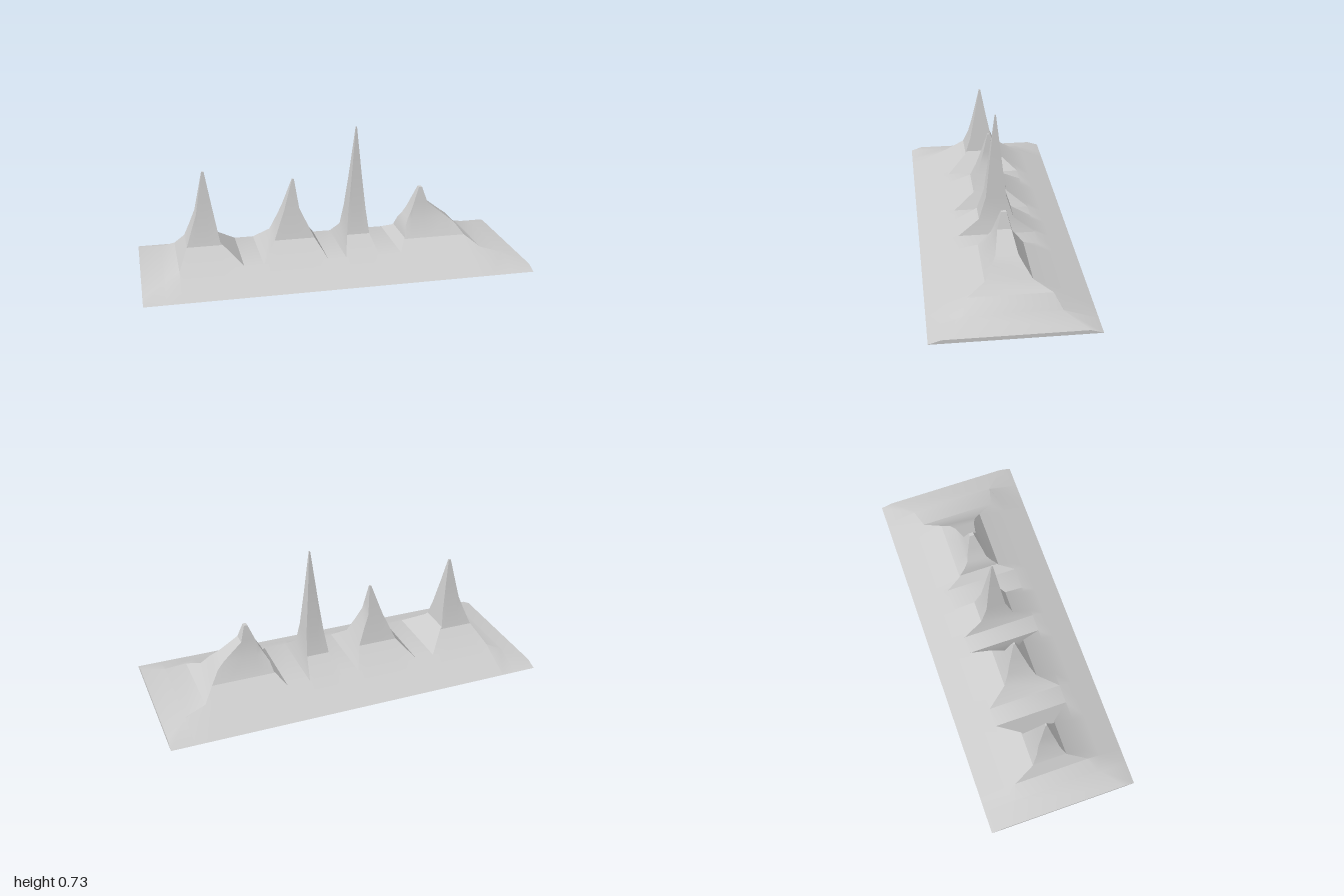
import * as THREE from 'three';
import { mergeVertices, toCreasedNormals } from 'three/addons/utils/BufferGeometryUtils.js';

// Ridge line seen from the front: [x, height]
const ridge = [
  [-1, 0.02], [-0.89, 0.052], [-0.81, 0.083],
  [-0.76, 0.17], [-0.705, 0.32], [-0.665, 0.535], [-0.653, 0.535], [-0.63, 0.4], [-0.59, 0.175], [-0.485, 0.085],
  [-0.385, 0.085], [-0.31, 0.165], [-0.25, 0.31], [-0.2, 0.465], [-0.19, 0.465], [-0.17, 0.315], [-0.1, 0.165], [-0.05, 0.085],
  [0.045, 0.085], [0.075, 0.165], [0.11, 0.45], [0.139, 0.725], [0.145, 0.725], [0.165, 0.48], [0.195, 0.165], [0.22, 0.085],
  [0.34, 0.085], [0.385, 0.13], [0.397, 0.18], [0.44, 0.26], [0.487, 0.375], [0.505, 0.375], [0.53, 0.295],
  [0.67, 0.185], [0.715, 0.125], [0.775, 0.083], [0.88, 0.057], [1, 0.02],
];

// Side outlines: [height, half depth], one per stretch of the ridge
const foot = [[0, 0.4], [0.055, 0.27], [0.085, 0.2]];
const endProfile = [[0, 0.4], [0.055, 0.235], [0.085, 0.2], [0.1, 0.19], [0.2, 0.09], [0.3, 0.05], [0.8, 0.004]];
const profiles = [
  { until: -0.82, rows: endProfile },
  { until: -0.43, rows: [...foot, [0.165, 0.092], [0.25, 0.062], [0.4, 0.03], [0.535, 0.004]] },
  { until: 0, rows: [...foot, [0.165, 0.09], [0.25, 0.06], [0.37, 0.028], [0.465, 0.005]] },
  { until: 0.28, rows: [...foot, [0.165, 0.09], [0.285, 0.053], [0.55, 0.023], [0.725, 0.003]] },
  { until: 0.8, rows: [...foot, [0.125, 0.115], [0.215, 0.055], [0.3, 0.033], [0.375, 0.013]] },
  { until: 2, rows: endProfile },
];
const rowsAt = (x) => profiles.find((p) => x <= p.until).rows;

function halfDepth(rows, y) {
  for (let i = 1; i < rows.length; i++) {
    const [y0, w0] = rows[i - 1], [y1, w1] = rows[i];
    if (y <= y1) return w0 + (w1 - w0) * (y - y0) / (y1 - y0);
  }
  return rows[rows.length - 1][1];
}

// Add a station wherever the ridge crosses a bend of the side outline
function makeStations() {
  const out = [ridge[0]];
  for (let i = 1; i < ridge.length; i++) {
    const [x0, h0] = ridge[i - 1], [x1, h1] = ridge[i];
    rowsAt((x0 + x1) / 2)
      .map(([y]) => (y - h0) / (h1 - h0))
      .filter((t) => t > 0.001 && t < 0.999)
      .sort((a, b) => a - b)
      .forEach((t) => out.push([x0 + (x1 - x0) * t, h0 + (h1 - h0) * t]));
    out.push(ridge[i]);
  }
  return out;
}

// Closed cross-section: front foot, up to the ridge, down to the back foot
function section([x, h]) {
  const rows = rowsAt(x);
  const front = rows.map(([level]) => {
    const y = Math.min(level, h);
    return new THREE.Vector3(x, y, halfDepth(rows, y));
  });
  const back = front.map((p) => new THREE.Vector3(p.x, p.y, -p.z)).reverse();
  return [...front, ...back];
}

function buildRange() {
  const rings = makeStations().map(section);
  const positions = [];
  const area = new THREE.Triangle();
  const tri = (a, b, c) => {
    if (area.set(a, b, c).getArea() > 1e-9) [a, b, c].forEach((p) => positions.push(p.x, p.y, p.z));
  };
  // Skin, including the flat underside that closes each ring
  for (let i = 1; i < rings.length; i++) {
    const a = rings[i - 1], b = rings[i], n = a.length;
    for (let j = 0; j < n; j++) {
      const k = (j + 1) % n;
      tri(a[j], b[j], b[k]);
      tri(a[j], b[k], a[k]);
    }
  }
  // End walls
  const first = rings[0], last = rings[rings.length - 1];
  for (let j = 1; j < first.length - 1; j++) {
    tri(first[0], first[j], first[j + 1]);
    tri(last[0], last[j + 1], last[j]);
  }
  const geometry = new THREE.BufferGeometry();
  geometry.setAttribute('position', new THREE.Float32BufferAttribute(positions, 3));
  return toCreasedNormals(mergeVertices(geometry, 1e-5), 0.5);
}

export function createModel() {
  const group = new THREE.Group();
  group.name = 'mountainRange';
  const mesh = new THREE.Mesh(buildRange(), new THREE.MeshStandardMaterial({ color: 0xcccccc }));
  mesh.name = 'peaksAndBase';
  group.add(mesh);
  return group;
}
